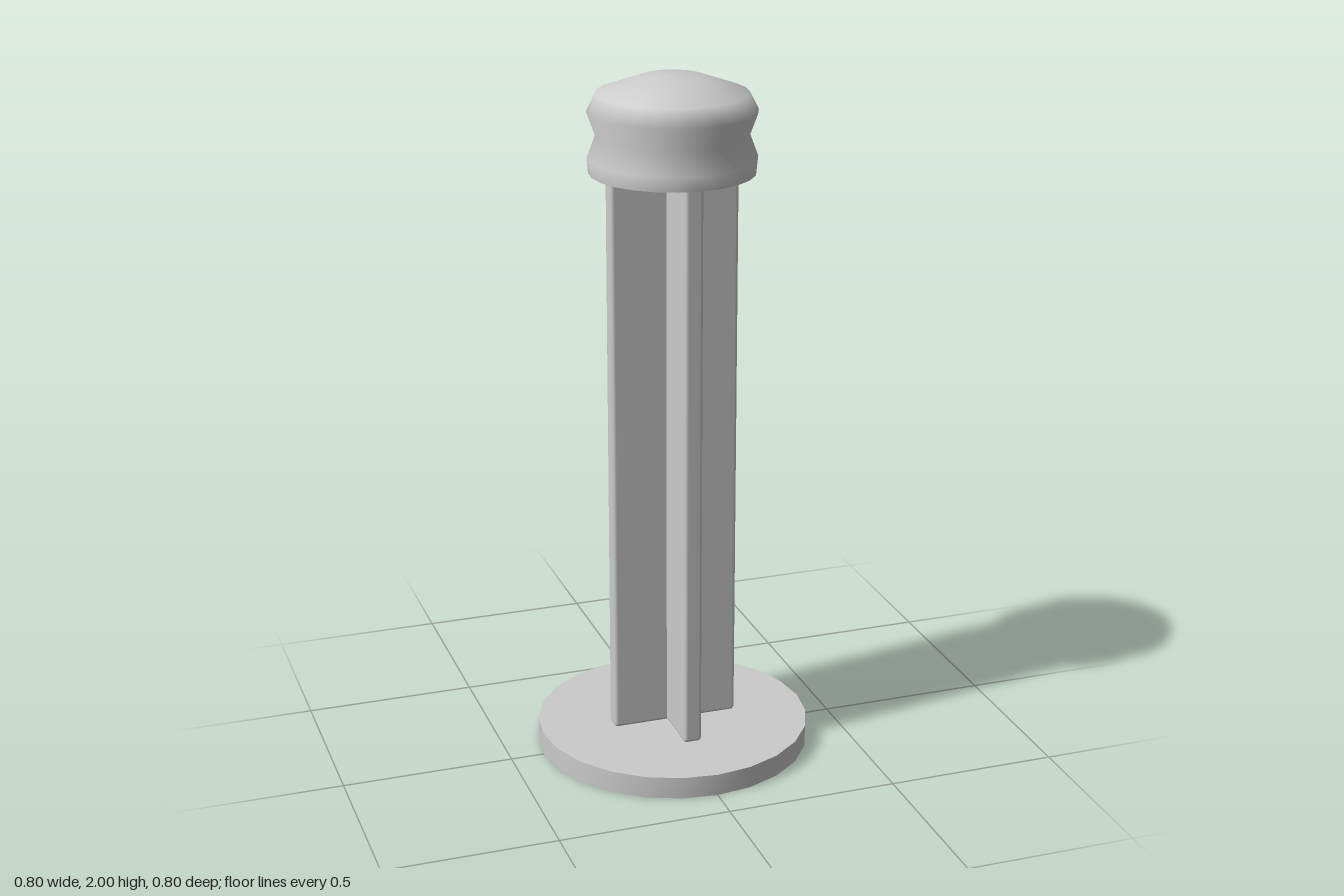
import * as THREE from 'three';
import { RoundedBoxGeometry } from 'three/addons/geometries/RoundedBoxGeometry.js';
import { toCreasedNormals } from 'three/addons/utils/BufferGeometryUtils.js';

const SIDES = 24;

export function createModel() {
  const model = new THREE.Group();
  model.name = 'post';
  const material = new THREE.MeshStandardMaterial({ color: 0xcccccc });

  const add = (name, geometry, y = 0) => {
    const mesh = new THREE.Mesh(geometry, material);
    mesh.name = name;
    mesh.position.y = y;
    model.add(mesh);
    return mesh;
  };

  // Round foot plate
  const baseHeight = 0.065;
  add('base', toCreasedNormals(new THREE.CylinderGeometry(0.4, 0.4, baseHeight, SIDES), Math.PI / 4), baseHeight / 2);

  // Two crossed boards with softened edges, from the plate up into the cap
  const bottom = 0.063, top = 1.745;
  for (const [name, angle] of [['crossBoard', 0], ['sideBoard', Math.PI / 2]]) {
    const board = add(name, new RoundedBoxGeometry(0.376, top - bottom, 0.054, 2, 0.011), (top + bottom) / 2);
    board.rotation.y = angle;
  }

  // Waisted cap with a shallow dome
  const profile = [
    [0.233, 1.73], [0.237, 1.772], [0.213, 1.836], [0.237, 1.902],
    [0.212, 1.952], [0.09, 1.996], [0, 2],
  ].map(([r, y]) => new THREE.Vector2(r, y));
  add('cap', new THREE.LatheGeometry(profile, SIDES));

  // Flat underside of the cap
  const underside = add('capUnderside', new THREE.CircleGeometry(0.233, SIDES), 1.73);
  underside.rotation.x = Math.PI / 2;

  return model;
}
